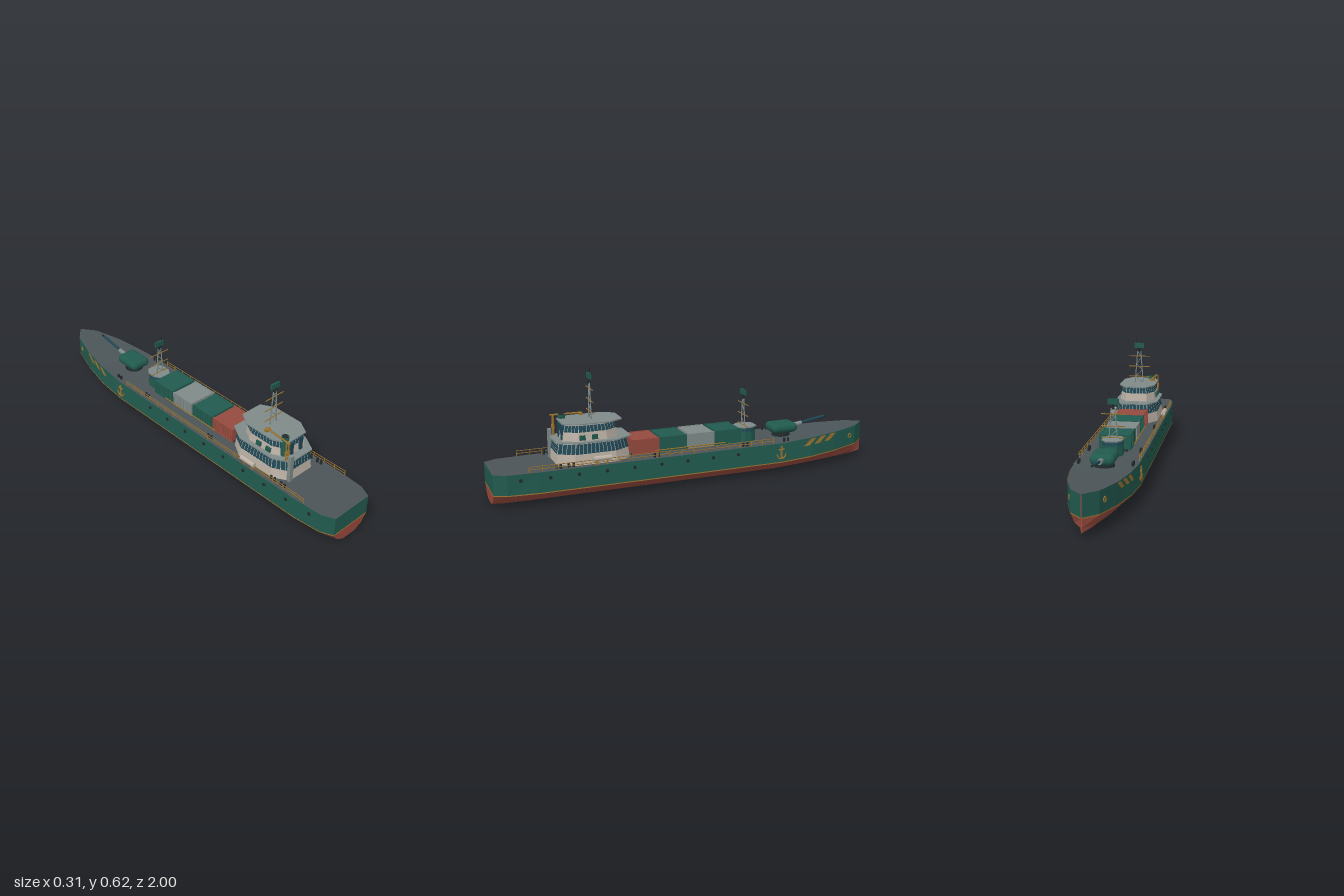
import * as THREE from 'three';
import { RoundedBoxGeometry } from 'three/addons/geometries/RoundedBoxGeometry.js';

const mat = (name, color) => {
  const m = new THREE.MeshStandardMaterial({ color, side: THREE.DoubleSide });
  m.name = name;
  return m;
};
const V = (x, y, z) => new THREE.Vector3(x, y, z);

export function createModel() {
  const green = mat('hull green', 0x215a4e), deckGrey = mat('deck grey', 0x4b5458);
  const red = mat('rust red', 0x964a3e), cream = mat('cream', 0xbcb1a5);
  const grey = mat('light grey', 0x7f8b89), navy = mat('window navy', 0x1f4654);
  const gold = mat('dull gold', 0x9c742f), dark = mat('charcoal', 0x23292c);
  const mark = mat('mark red', 0xb53a2c);
  const ship = new THREE.Group();
  ship.name = 'ship';

  const add = (name, geo, m, x = 0, y = 0, z = 0, parent = ship) => {
    const mesh = new THREE.Mesh(geo, m);
    mesh.name = name;
    mesh.position.set(x, y, z);
    parent.add(mesh);
    return mesh;
  };
  const box = (name, m, w, h, d, x, y, z, parent) => add(name, new THREE.BoxGeometry(w, h, d), m, x, y, z, parent);
  // Round bar between two points
  const bar = (name, m, a, b, r, parent, sides = 6) => {
    const d = b.clone().sub(a), c = a.clone().add(b).multiplyScalar(0.5);
    const mesh = add(name, new THREE.CylinderGeometry(r, r, d.length(), sides), m, c.x, c.y, c.z, parent);
    mesh.quaternion.setFromUnitVectors(V(0, 1, 0), d.normalize());
    return mesh;
  };
  // Flat-faced geometry from quads (corners counter-clockwise)
  const quads = (list) => {
    const pts = list.flatMap(([a, b, c, d]) => [a, b, c, a, c, d]);
    const g = new THREE.BufferGeometry().setFromPoints(pts);
    g.computeVertexNormals();
    return g;
  };
  const loft = (rings, closed = false) => {
    const out = [];
    for (let i = 0; i + 1 < rings.length; i++) {
      const n = rings[i].length;
      for (let j = 0; j < (closed ? n : n - 1); j++) {
        const k = (j + 1) % n;
        out.push([rings[i][j], rings[i + 1][j], rings[i + 1][k], rings[i][k]]);
      }
    }
    return quads(out);
  };

  // Hull stations: z, half width, deck y, waterline y, keel y
  const stations = [
    [-1, 0.002, 0.187, 0.085, 0.025], [-0.93, 0.06, 0.183, 0.081, 0.022], [-0.78, 0.106, 0.175, 0.073, 0.015],
    [-0.62, 0.133, 0.167, 0.066, 0.007], [-0.45, 0.146, 0.16, 0.06, 0], [0, 0.147, 0.16, 0.06, 0],
    [0.8, 0.147, 0.16, 0.06, 0], [0.94, 0.138, 0.16, 0.06, 0], [1, 0.111, 0.16, 0.06, 0.001]];
  const bulge = (z) => (z > 0.9 || z < -0.7 ? 1 : 1.04);
  const hullAt = (z) => {
    let i = 0;
    while (i < stations.length - 2 && stations[i + 1][0] < z) i++;
    const a = stations[i], b = stations[i + 1], t = (z - a[0]) / (b[0] - a[0]);
    return a.map((v, k) => v + (b[k] - v) * t);
  };
  const sidePoint = (s, z, y, off = 0) => {
    const [, w, dy, wy] = hullAt(z), t = (y - wy) / (dy - wy);
    return V(s * (w * (bulge(z) * (1 - t) + t) + off), y, z);
  };
  const half = ([z, w, , wy, ky]) => [V(w * bulge(z), wy, z), V(w * 0.73, ky + 0.021, z), V(w * 0.36, ky, z)];
  const mirror = (p) => V(-p.x, p.y, p.z);
  const bottom = stations.map((s) => [...half(s), ...half(s).reverse().map(mirror)]);
  add('hullBottom', loft(bottom), red);
  add('deck', loft(stations.map(([z, w, dy]) => [V(-w, dy, z), V(w, dy, z)])), deckGrey);
  for (const s of [1, -1]) {
    const strip = (yTop, yLow, off) => stations.map((st) => {
      const p = [sidePoint(s, st[0], yTop(st), off), sidePoint(s, st[0], yLow(st), off)];
      return s > 0 ? p : p.reverse();
    });
    add('hullSide', loft(strip((t) => t[2], (t) => t[3], 0)), green);
    add('waterlineStripe', loft(strip((t) => t[3] + 0.005, (t) => t[3], 0.0015)), gold);
  }
  const shape = (pts) => new THREE.ShapeGeometry(new THREE.Shape(pts.map((p) => new THREE.Vector2(p.x, p.y))));
  add('transomUpper', shape([V(-0.111, 0.06), V(0.111, 0.06), V(0.111, 0.16), V(-0.111, 0.16)]), green, 0, 0, 1);
  add('transomLower', shape(bottom[bottom.length - 1]), red, 0, 0, 1);
  box('transomStripe', gold, 0.222, 0.005, 0.002, 0, 0.0625, 1);
  for (const x of [-0.048, 0, 0.048]) box('draftMark', mark, 0.008, 0.034, 0.002, x, 0.038, 1);

  // Details on both hull sides
  for (const s of [1, -1]) {
    for (let i = 0; i < 9; i++) {
      const p = sidePoint(s, 0.88 - i * 0.135, 0.13);
      add('porthole', new THREE.CylinderGeometry(0.008, 0.008, 0.01, 10), dark, p.x, p.y, p.z).rotation.z = Math.PI / 2;
    }
    for (let i = 0; i < 3; i++) {
      const z = -0.575 - i * 0.065, y = 0.128 + i * 0.004;
      const q = [[z, y], [z - 0.035, y], [z - 0.08, y + 0.036], [z - 0.045, y + 0.036]];
      add('bowStripe', quads([q.map(([a, b]) => sidePoint(s, a, b, 0.003))]), gold);
    }
    const h = sidePoint(s, -0.89, 0.135, 0.001);
    add('hawseRing', new THREE.TorusGeometry(0.011, 0.003, 6, 14), gold, h.x, h.y, h.z).rotation.y = s * 1.85;
    const anchor = new THREE.Group();
    anchor.name = 'anchor';
    const a = sidePoint(s, -0.44, 0.11, 0.005);
    anchor.position.copy(a);
    anchor.rotation.y = s * Math.PI / 2;
    ship.add(anchor);
    box('anchorShank', gold, 0.007, 0.06, 0.006, 0, 0, 0, anchor);
    box('anchorStock', gold, 0.03, 0.006, 0.006, 0, 0.02, 0, anchor);
    add('anchorArms', new THREE.TorusGeometry(0.024, 0.004, 6, 12, Math.PI), gold, 0, -0.004, 0, anchor).rotation.z = Math.PI;
    add('anchorRing', new THREE.TorusGeometry(0.006, 0.002, 6, 10), gold, 0, 0.033, 0, anchor);

    // Railings, rafts and bollards
    for (const y of [0.174, 0.187]) bar('rail', gold, V(s * 0.14, y, 0.84), V(s * 0.14, y, -0.4), 0.0018);
    for (let i = 0; i <= 20; i++) box('railPost', gold, 0.003, 0.028, 0.003, s * 0.14, 0.174, 0.84 - i * 0.062);
    add('lifeRaft', new THREE.CylinderGeometry(0.012, 0.012, 0.085, 12), cream, s * 0.141, 0.192, 0.495).rotation.x = Math.PI / 2;
    for (const z of [0.47, 0.52]) box('raftCradle', gold, 0.012, 0.024, 0.006, s * 0.139, 0.172, z);
    for (const z of [0.7, 0.64, 0.22, -0.25, -0.48])
      for (const d of [-0.011, 0.011]) add('bollard', new THREE.CylinderGeometry(0.006, 0.006, 0.02, 8), dark, s * 0.124, 0.17, z + d);
    bar('lashingRail', gold, V(s * 0.08, 0.178, 0.21), V(s * 0.08, 0.178, -0.16), 0.003);
  }

  // Eight-sided deckhouse outline
  const ring = (y, w, k, zf, zb, cut) => [[w, zf + cut], [w, zb - cut], [k, zb], [-k, zb], [-w, zb - cut],
    [-w, zf + cut], [-k, zf], [k, zf]].map(([x, z]) => V(x, y, z));
  const slab = (name, m, y, h, w, k, zf, zb, cut) => {
    const mid = new Array(8).fill(0).map(() => V(0, y + h, (zf + zb) / 2));
    const low = mid.map((p) => V(p.x, y, p.z));
    add(name, loft([low, ring(y, w, k, zf, zb, cut), ring(y + h, w, k, zf, zb, cut), mid], true), m);
  };
  // Row of window panes between two outlines
  const panes = (name, lo, hi, size) => {
    const list = [];
    for (let j = 0; j < 8; j++) {
      const k = (j + 1) % 8, n = Math.max(1, Math.round(lo[j].distanceTo(lo[k]) / size));
      const out = V(lo[k].z - lo[j].z, 0, lo[j].x - lo[k].x).normalize().negate();
      if (out.x * lo[j].x + out.x * lo[k].x < 0 || (Math.abs(out.x) < 0.01 && j === 2 && out.z < 0) || (Math.abs(out.x) < 0.01 && j === 6 && out.z > 0)) out.negate();
      const at = (r, t) => r[j].clone().lerp(r[k], t).addScaledVector(out, 0.002);
      for (let i = 0; i < n; i++) {
        const t0 = (i + 0.06) / n, t1 = (i + 0.94) / n;
        list.push([at(lo, t0), at(hi, t0), at(hi, t1), at(lo, t1)]);
      }
    }
    add(name, quads(list), navy);
  };
  // Lower and upper bridge decks
  const l1 = ring(0.212, 0.111, 0.07, 0.345, 0.69, 0.075), l2 = ring(0.257, 0.1, 0.065, 0.355, 0.68, 0.072);
  add('lowerHouse', loft([ring(0.16, 0.117, 0.072, 0.34, 0.695, 0.075), l1, l2, ring(0.263, 0.099, 0.064, 0.356, 0.679, 0.072)], true), cream);
  panes('lowerWindows', l1, l2, 0.019);
  slab('lowerRoof', grey, 0.262, 0.006, 0.115, 0.07, 0.33, 0.695, 0.08);
  const u1 = ring(0.31, 0.088, 0.055, 0.4, 0.652, 0.06), u2 = ring(0.34, 0.08, 0.05, 0.407, 0.645, 0.058);
  add('upperHouse', loft([ring(0.267, 0.094, 0.058, 0.395, 0.658, 0.06), u1, u2, ring(0.347, 0.079, 0.05, 0.408, 0.644, 0.058)], true), cream);
  panes('upperWindows', u1, u2, 0.018);
  slab('upperRoof', grey, 0.346, 0.006, 0.095, 0.058, 0.37, 0.66, 0.065);
  for (const x of [-0.03, 0.03]) box('rearVent', navy, 0.02, 0.066, 0.014, x, 0.302, 0.654);
  for (const s of [1, -1]) for (const z of [0.575, 0.515]) box('sideLocker', green, 0.014, 0.022, 0.028, s * 0.093, 0.285, z);

  // Funnel, exhaust trunk and crane
  box('exhaustTrunk', grey, 0.022, 0.14, 0.018, -0.07, 0.23, 0.692);
  add('funnel', new THREE.CylinderGeometry(0.018, 0.02, 0.1, 14), green, -0.053, 0.32, 0.635);
  add('funnelMouth', new THREE.CylinderGeometry(0.014, 0.014, 0.003, 14), dark, -0.053, 0.3705, 0.635);
  for (const x of [-0.084, -0.068]) {
    bar('cranePost', gold, V(x, 0.268, 0.672), V(x, 0.365, 0.672), 0.004);
    add('craneBase', new THREE.CylinderGeometry(0.007, 0.007, 0.02, 8), gold, x, 0.308, 0.672);
  }
  bar('craneArm', gold, V(-0.076, 0.365, 0.685), V(-0.066, 0.366, 0.53), 0.0045);
  box('craneHead', gold, 0.03, 0.01, 0.016, -0.068, 0.362, 0.54);

  // Lattice mast with yards, radar and whip antenna
  const mast = (name, y, z) => {
    const g = new THREE.Group();
    g.name = name;
    g.position.set(0, y, z);
    ship.add(g);
    const leg = (s, t) => V(s * (0.022 - 0.013 * t), 0.175 * t, 0);
    for (const s of [1, -1]) bar('mastLeg', grey, leg(s, 0), leg(s, 1), 0.003, g);
    for (let i = 0; i < 5; i++) bar('mastBrace', grey, leg(i % 2 ? 1 : -1, i / 5), leg(i % 2 ? -1 : 1, (i + 1) / 5), 0.002, g);
    for (const h of [0.035, 0.09, 0.147]) bar('yard', gold, V(-0.058, h, 0), V(0.058, h, 0), 0.0025, g);
    bar('radarStem', dark, V(0, 0.17, 0), V(0, 0.195, 0), 0.006, g, 8);
    box('radar', green, 0.052, 0.027, 0.01, 0, 0.206, 0, g);
    bar('antenna', dark, V(0.016, 0.175, 0), V(0.016, 0.265, 0), 0.0015, g);
  };
  mast('mainMast', 0.35, 0.51);
  mast('foreMast', 0.203, -0.295);

  // Fore deckhouse
  const f1 = ring(0.21, 0.047, 0.027, -0.35, -0.255, 0.03), f2 = ring(0.23, 0.044, 0.025, -0.347, -0.256, 0.03);
  add('foreHouse', loft([ring(0.16, 0.05, 0.03, -0.352, -0.253, 0.03), f1, f2], true), green);
  panes('foreWindows', f1, f2, 0.016);
  slab('foreRoof', grey, 0.23, 0.006, 0.049, 0.028, -0.358, -0.252, 0.03);

  // Ribbed cargo containers
  [[0.256, red], [0.112, green], [-0.034, grey], [-0.18, green]].forEach(([z, m]) => {
    const g = new THREE.Group();
    g.name = 'container';
    g.position.set(0, 0.204, z);
    ship.add(g);
    box('containerBody', m, 0.146, 0.07, 0.132, 0, 0, 0, g);
    for (const s of [1, -1]) {
      for (let i = 0; i < 7; i++) {
        box('sideRib', m, 0.005, 0.06, 0.008, s * 0.073, 0, -0.054 + i * 0.018, g);
        box('endRib', m, 0.009, 0.06, 0.004, -0.06 + i * 0.02, 0, s * 0.066, g);
      }
      for (const t of [1, -1]) {
        box('cornerPost', m, 0.008, 0.074, 0.008, s * 0.072, 0, t * 0.065, g);
        box('topEdge', m, 0.008, 0.006, 0.134, s * 0.072, t * 0.034, 0, g);
      }
      box('skid', dark, 0.02, 0.01, 0.13, s * 0.05, -0.039, 0, g);
    }
  });

  // Deck gun
  add('gunBase', new THREE.CylinderGeometry(0.044, 0.048, 0.022, 16), dark, 0, 0.172, -0.515);
  add('gunTurret', new RoundedBoxGeometry(0.112, 0.05, 0.145, 4, 0.024), green, 0, 0.205, -0.517);
  bar('gunSleeve', grey, V(0, 0.205, -0.575), V(0, 0.213, -0.635), 0.012, ship, 10);
  bar('gunBarrel', navy, V(0, 0.21, -0.6), V(0, 0.237, -0.77), 0.007, ship, 10);
  bar('gunMuzzle', dark, V(0, 0.235, -0.755), V(0, 0.24, -0.79), 0.005, ship, 10);
  return ship;
}
